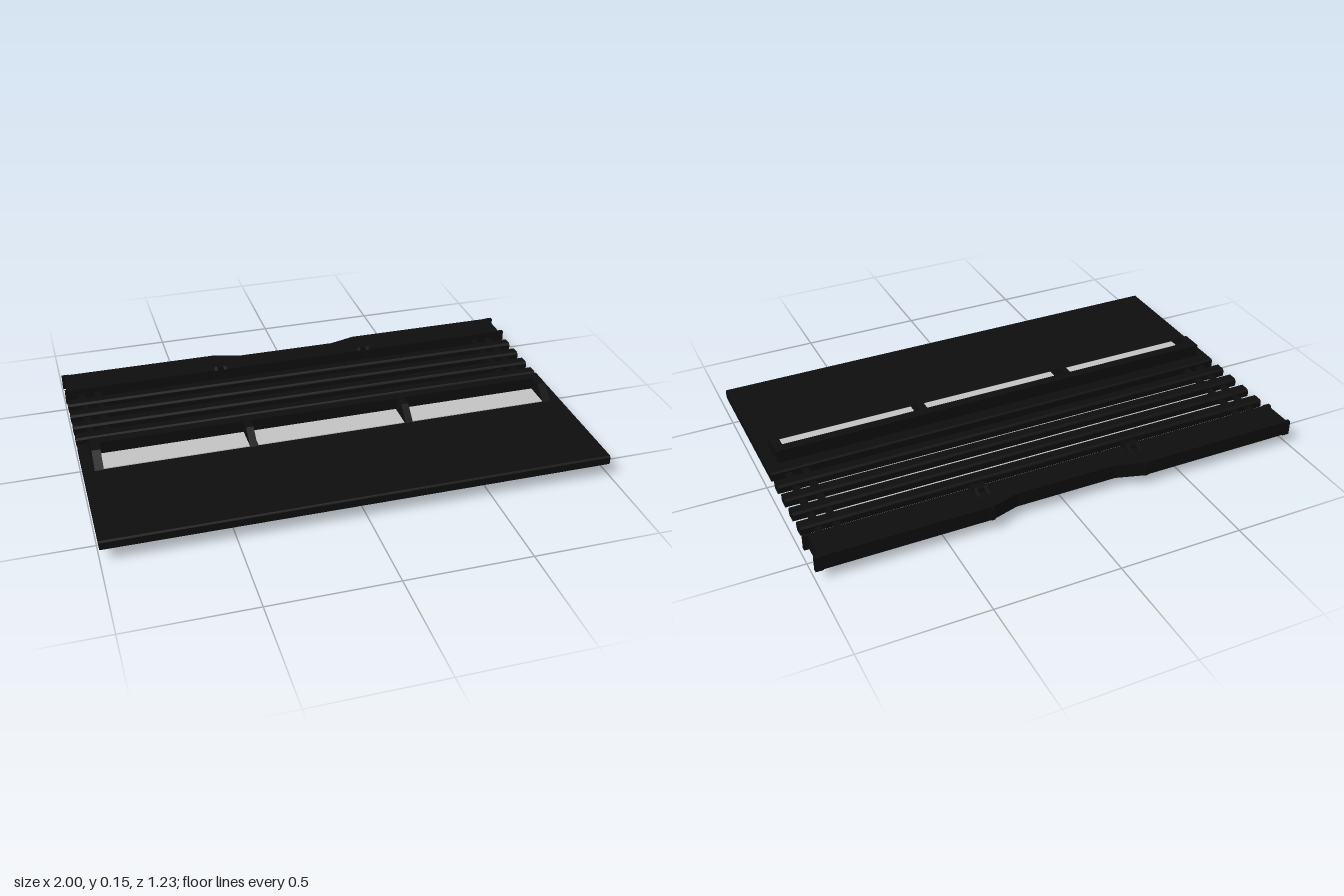
import * as THREE from 'three';

const MID = 0.077; // height of the central plane
const CX = -0.004; // centre of the long parts

export function createModel() {
  const model = new THREE.Group();
  const black = new THREE.MeshStandardMaterial({ color: 0x0e0e0e });
  black.name = 'blackMetal';
  const grey = new THREE.MeshStandardMaterial({ color: 0xc6c6c6 });
  grey.name = 'lightGreyPanel';

  const add = (name, geometry, material = black) => {
    const mesh = new THREE.Mesh(geometry, material);
    mesh.name = name;
    model.add(mesh);
    return mesh;
  };

  const box = (name, w, h, d, x, y, z, material) =>
    add(name, new THREE.BoxGeometry(w, h, d), material).position.set(x, y, z);

  // Extrudes a (z, y) profile along x, centred on the given x
  const bar = (name, points, width, x) => {
    const shape = new THREE.Shape(points.map(([z, y]) => new THREE.Vector2(z, y)));
    const g = new THREE.ExtrudeGeometry(shape, { depth: width, bevelEnabled: false });
    g.translate(0, 0, -width / 2).rotateY(-Math.PI / 2);
    add(name, g).position.x = x;
  };

  // Rectangle profile with cut corners
  const cut = (z0, z1, h, c) => [
    [z0 + c, MID - h], [z1 - c, MID - h], [z1, MID - h + c], [z1, MID + h - c],
    [z1 - c, MID + h], [z0 + c, MID + h], [z0, MID + h - c], [z0, MID - h + c],
  ];

  // Main board and the slats behind it
  bar('board', cut(-0.053, 0.613, 0.02, 0.006), 1.988, CX);
  for (const z of [-0.117, -0.208, -0.3, -0.391]) {
    bar('slat', cut(z - 0.026, z + 0.026, 0.019, 0.008), 1.988, CX);
  }

  // Rods joining the slats to the rear beam
  for (const x of [-0.932, -0.865, 0.857, 0.924]) {
    box('rod', 0.027, 0.012, 0.46, x, MID, -0.27);
  }

  // Upright wall, end cheeks and dividers, above and below the board
  box('uprightWall', 1.9, 0.15, 0.04, CX, 0.075, 0.025);
  const cheek = [
    [0.005, 0], [0.095, 0.002], [0.16, 0.058],
    [0.16, 0.096], [0.095, 0.15], [0.005, 0.15],
  ];
  for (const side of [-1, 1]) {
    bar('cheek', cheek, 0.035, CX + side * 0.9325);
    bar('divider', cheek, 0.03, CX + side * 0.325);
  }

  // Pale panels between the dividers on both faces of the board
  for (const i of [-1, 0, 1]) {
    for (const side of [-1, 1]) {
      box('panel', 0.61, 0.004, 0.11, CX + i * 0.6225, MID + side * 0.021, 0.1, grey);
    }
  }

  // Rear beam with a shallow notch along its back edge
  const outline = [
    [-0.985, 0.47], [0.985, 0.47], [0.985, 0.608], [0.32, 0.608], [0.21, 0.575],
    [-0.21, 0.575], [-0.32, 0.608], [-0.985, 0.608],
  ];
  const beamShape = new THREE.Shape(outline.map(([x, y]) => new THREE.Vector2(x, y)));
  const beam = new THREE.ExtrudeGeometry(beamShape, { depth: 0.06, bevelEnabled: false });
  beam.rotateX(-Math.PI / 2);
  add('rearBeam', beam).position.set(CX, MID - 0.03, 0);

  // Flange tips at the beam ends, and brackets beside the notch
  const bracket = [
    [-0.455, 0.04], [-0.47, 0.03], [-0.5, 0.03], [-0.535, 0.046],
    [-0.535, 0.108], [-0.5, 0.124], [-0.47, 0.124], [-0.455, 0.114],
  ].reverse();
  for (const side of [-1, 1]) {
    box('rearFlange', 0.03, 0.06, 0.016, side * 0.985, MID, -0.604);
    box('frontFlange', 0.03, 0.06, 0.016, side * 0.985, MID, -0.474);
    for (const dx of [-0.02, 0.02]) {
      bar('bracketPlate', bracket, 0.014, CX + side * 0.325 + dx);
    }
    box('bracketBody', 0.03, 0.085, 0.035, CX + side * 0.325, MID, -0.488);
    box('bracketPin', 0.016, 0.05, 0.03, CX + side * 0.325, MID, -0.602);
  }
  return model;
}
